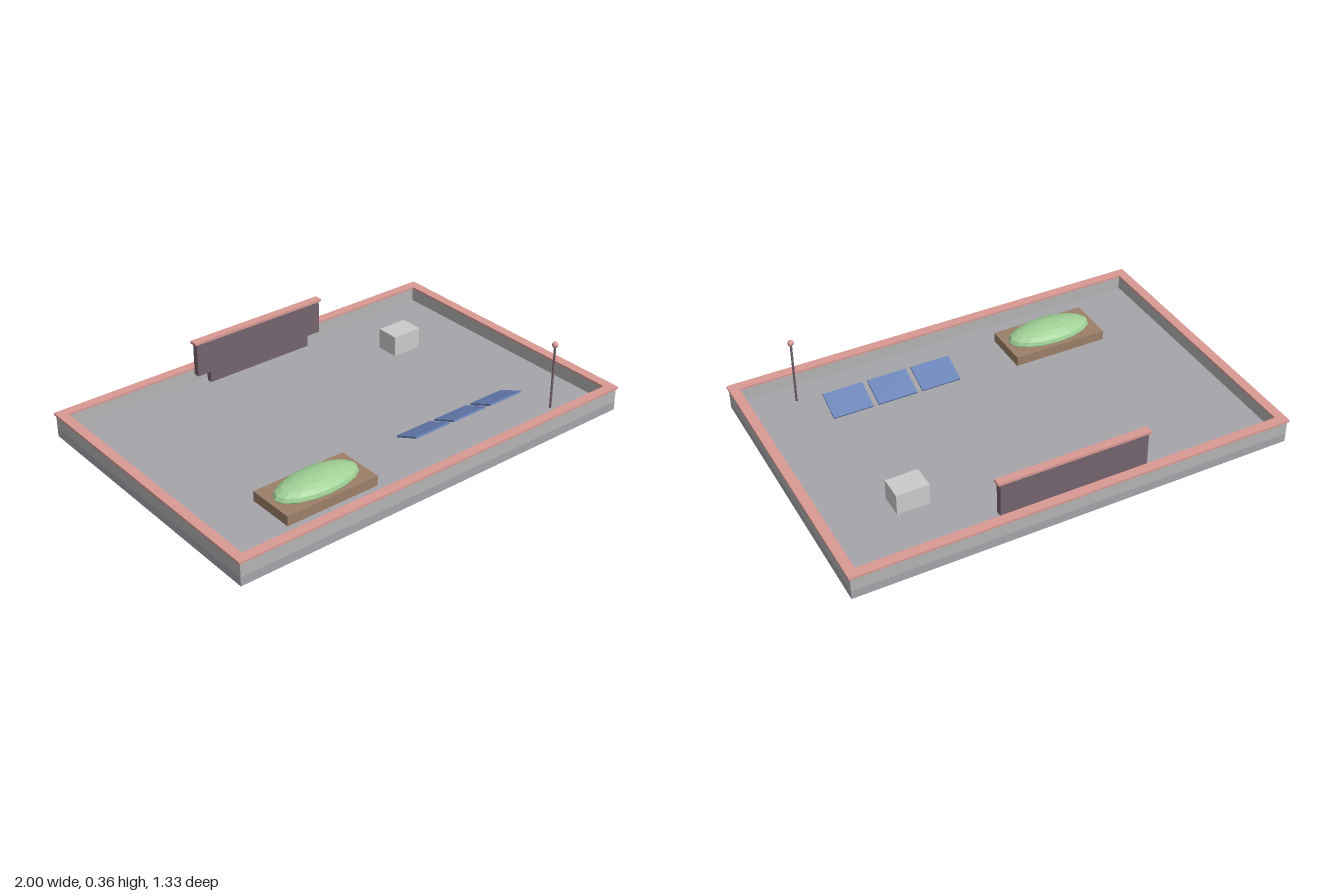
import * as THREE from 'three';

const paint = (color, flatShading = false) => new THREE.MeshStandardMaterial({ color, flatShading });

const FLOOR = 0.04; // height of the roof deck

export function createModel() {
  const group = new THREE.Group();
  const grey = paint(0xcccccc);
  const wallGrey = paint(0xb4b4b4);
  const deck = paint(0xa5a4aa);
  const coral = paint(0xd99a93);
  const plum = paint(0x75646f);
  const brown = paint(0x9c8068);
  const green = paint(0x9fd095, true);
  const blue = paint(0x6680b5);

  const add = (name, geometry, material, x, y, z) => {
    const mesh = new THREE.Mesh(geometry, material);
    mesh.name = name;
    mesh.position.set(x, y, z);
    group.add(mesh);
    return mesh;
  };
  // Box given by its extents, [min, max] on each axis
  const box = (name, material, [x0, x1], [y0, y1], [z0, z1]) =>
    add(name, new THREE.BoxGeometry(x1 - x0, y1 - y0, z1 - z0), material,
      (x0 + x1) / 2, (y0 + y1) / 2, (z0 + z1) / 2);

  // Rectangular ring standing on y0, used for parapet and coping
  const ring = (name, material, halfX, halfZ, width, y0, y1) => {
    const rect = (Type, a, b) => new Type([[-a, -b], [a, -b], [a, b], [-a, b]]
      .map(([x, y]) => new THREE.Vector2(x, y)));
    const shape = rect(THREE.Shape, halfX, halfZ);
    shape.holes.push(rect(THREE.Path, halfX - width, halfZ - width));
    const geometry = new THREE.ExtrudeGeometry(shape, { depth: y1 - y0, bevelEnabled: false });
    geometry.rotateX(-Math.PI / 2);
    return add(name, geometry, material, 0, y0, 0);
  };

  // Roof deck with parapet and overhanging coping
  box('roofSlab', deck, [-0.993, 0.993], [0, FLOOR], [-0.66, 0.66]);
  ring('parapet', wallGrey, 0.993, 0.66, 0.033, FLOOR, 0.103);
  ring('coping', coral, 1, 0.666, 0.044, 0.103, 0.113);

  // Screen wall at the back on a narrower plinth
  box('screenPlinth', plum, [-0.27, 0.27], [FLOOR, 0.092], [-0.602, -0.575]);
  box('screenWall', plum, [-0.336, 0.336], [0.092, 0.247], [-0.603, -0.574]);
  box('screenCap', coral, [-0.346, 0.346], [0.247, 0.259], [-0.607, -0.57]);

  // Rooftop unit
  box('rooftopUnit', grey, [0.518, 0.664], [FLOOR, 0.136], [-0.354, -0.246]);

  // Planter with a low bush
  box('planter', brown, [-0.67, -0.225], [FLOOR, 0.085], [0.294, 0.514]);
  const bush = add('bush', new THREE.SphereGeometry(1, 16, 10), green, -0.447, 0.09, 0.405);
  bush.scale.set(0.203, 0.052, 0.093);

  // Row of tilted solar panels
  for (let i = 0; i < 3; i++) {
    const panel = add('solarPanel', new THREE.BoxGeometry(0.183, 0.008, 0.128), blue,
      0.146 + i * 0.208, 0.082, 0.365);
    panel.rotation.x = -0.4;
  }

  // Antenna mast with a ball tip
  add('mast', new THREE.CylinderGeometry(0.005, 0.005, 0.3, 10), plum, 0.74, FLOOR + 0.15, 0.52);
  add('mastTip', new THREE.SphereGeometry(0.014, 14, 10), coral, 0.74, 0.345, 0.52);

  return group;
}
